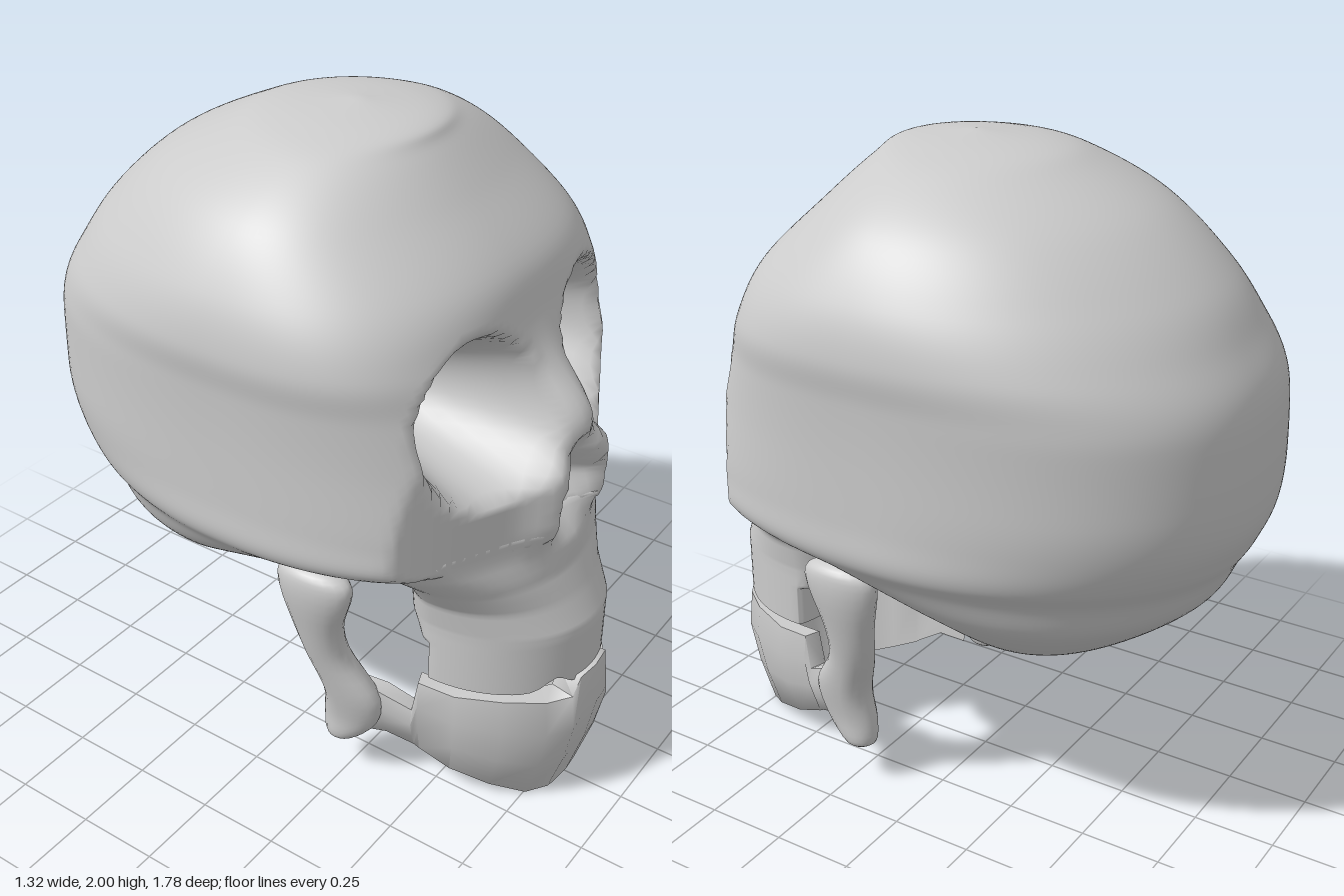
import * as THREE from 'three';
import { mergeVertices, toCreasedNormals } from 'three/addons/utils/BufferGeometryUtils.js';

const { smoothstep, clamp, lerp } = THREE.MathUtils;
const bone = new THREE.MeshStandardMaterial({ color: 0xcccccc });

// Surface from a grid of points: rows run downwards, columns run left to right
function gridGeometry(rows, cols, point) {
  const pos = [], index = [];
  for (let i = 0; i <= rows; i++) {
    for (let j = 0; j <= cols; j++) {
      pos.push(...point(i, j));
      if (i < rows && j < cols) {
        const a = i * (cols + 1) + j, b = a + cols + 1;
        index.push(a, b, a + 1, a + 1, b, b + 1);
      }
    }
  }
  const g = new THREE.BufferGeometry();
  g.setAttribute('position', new THREE.Float32BufferAttribute(pos, 3));
  g.setIndex(index);
  const merged = mergeVertices(g, 1e-5);
  merged.computeVertexNormals();
  return merged;
}

// Stack of superellipse sections: [y, half width, middle z, front z, back z, front exponent]
function loft(levels, sub, cols, tension, shape) {
  const curve = k => new THREE.CatmullRomCurve3(
    levels.map(l => new THREE.Vector3(l[k], l[k + 1], l[k + 2])), false, 'catmullrom', tension);
  const first = curve(0), second = curve(3), rows = (levels.length - 1) * sub;
  return gridGeometry(rows, cols, (i, j) => {
    const { x: y, y: w, z: mid } = first.getPoint(i / rows);
    const { x: front, y: back, z: n } = second.getPoint(i / rows);
    const a = ((j % cols) / cols) * Math.PI * 2 - Math.PI;
    const s = Math.sin(a), c = Math.cos(a);
    const e = c > 0 ? n : 2.35 - 0.4 * smoothstep(Math.abs(y - 1.25), 0.1, 0.45);
    const r = (Math.abs(s) ** e + Math.abs(c) ** e) ** (-1 / e);
    const z = mid + r * c * (c > 0 ? front - mid : mid - back);
    return shape([r * s * w, y, z]);
  });
}

// Slanted cheeks, eye sockets, nose bridge and nose opening worked into the face
function carveFace([x, y, z]) {
  if (z < 0.2) return [x, y, z];
  const ax = Math.abs(x);
  const slant = (1 - smoothstep(y, 1.2, 1.5)) * smoothstep(y, 0.78, 0.92);
  z = lerp(z, Math.min(z, 0.78 - 0.54 * ax ** 1.3), slant);
  const bridge = Math.exp(-((x / 0.07) ** 2)) * Math.exp(-(((y - 1.28) / 0.12) ** 2));
  const noseRim = Math.exp(-(((ax - 0.13) / 0.06) ** 2)) * smoothstep(y, 0.85, 1.0) * (1 - smoothstep(y, 1.1, 1.25));
  z += 0.075 * bridge + 0.045 * noseRim;
  const e = ((ax - 0.275) / 0.22) ** 2 + ((y - 1.33) / 0.235) ** 2;
  if (e < 1) {
    const deep = (1 - e) ** 1.5;
    z -= 0.52 * deep;
    x -= Math.sign(x) * 0.07 * deep;
    y -= 0.04 * deep;
  }
  const s = clamp((1.23 - y) / 0.2, 0, 1);
  const half = 0.03 + 0.1 * s;
  z -= 0.15 * s * Math.max(0, 1 - (x / half) ** 2) * smoothstep(y, 0.86, 1.05);
  return [x, y, z];
}

const craniumLevels = [
  [2.00, 0, 0.03, 0.03, 0.03, 2],
  [1.975, 0.2, 0.03, 0.24, -0.2, 2],
  [1.93, 0.345, 0.03, 0.3, -0.33, 2],
  [1.82, 0.51, 0.02, 0.41, -0.54, 2.1],
  [1.66, 0.62, 0, 0.56, -0.72, 2.5],
  [1.52, 0.66, 0, 0.61, -0.81, 2.9],
  [1.40, 0.65, 0, 0.655, -0.87, 2.9],
  [1.25, 0.645, 0, 0.72, -0.888, 2.8],
  [1.05, 0.645, 0, 0.78, -0.885, 2.8],
  [0.94, 0.645, 0, 0.76, -0.85, 2.7],
  [0.87, 0.60, -0.05, 0.48, -0.81, 2.4],
  [0.75, 0.51, -0.2, 0.1, -0.74, 2.2],
  [0.61, 0.34, -0.27, -0.06, -0.55, 2],
  [0.565, 0.2, -0.27, -0.13, -0.4, 2],
  [0.555, 0, -0.27, -0.27, -0.27, 2],
];

const upperJawLevels = [
  [1.02, 0.50, 0.4, 0.66, 0.25, 2],
  [0.95, 0.53, 0.4, 0.775, 0.25, 1.9],
  [0.88, 0.47, 0.45, 0.78, 0.28, 1.9],
  [0.80, 0.38, 0.5, 0.78, 0.32, 2],
  [0.72, 0.325, 0.5, 0.815, 0.33, 2],
  [0.63, 0.31, 0.5, 0.86, 0.33, 2],
  [0.57, 0.31, 0.5, 0.86, 0.38, 2],
  [0.565, 0.31, 0.5, 0.86, 0.46, 2],
  [0.44, 0.31, 0.5, 0.86, 0.46, 2],
  // hollow palate
  [0.44, 0.26, 0.5, 0.80, 0.47, 2],
  [0.56, 0.22, 0.5, 0.74, 0.48, 2],
  [0.58, 0, 0.5, 0.5, 0.5, 2],
];

const ramusLevels = [
  [0.815, 0, 0.2, 0.2, 0.2, 2],
  [0.80, 0.045, 0.2, 0.29, 0.12, 2],
  [0.75, 0.06, 0.2, 0.33, 0.08, 2],
  [0.60, 0.055, 0.2, 0.285, 0.11, 2],
  [0.47, 0.058, 0.21, 0.29, 0.14, 2],
  [0.33, 0.06, 0.25, 0.37, 0.18, 2],
  [0.22, 0.052, 0.25, 0.35, 0.17, 2],
  [0.14, 0.045, 0.23, 0.28, 0.18, 2],
  [0.13, 0, 0.23, 0.23, 0.23, 2],
];

// Jaw body stations from the chin to the rear: [x, z, top, bottom]
const jawHalf = [
  [0, 0.875, 0.46, 0.015], [0.075, 0.867, 0.46, 0.01], [0.1, 0.858, 0.4, 0.005],
  [0.17, 0.81, 0.4, 0.005], [0.25, 0.71, 0.41, 0.045], [0.3, 0.58, 0.4, 0.08],
  [0.318, 0.468, 0.41, 0.12], [0.322, 0.45, 0.3, 0.13], [0.36, 0.36, 0.35, 0.165],
  [0.385, 0.25, 0.36, 0.15],
];

function jawBodyGeometry() {
  const mirrored = jawHalf.slice(1).reverse().map(([x, ...rest]) => [-x, ...rest]);
  const stations = [...mirrored, ...jawHalf];
  // wall section: [height fraction, scale towards the middle of the mouth]
  const wall = [[1, 1], [0.7, 1.025], [0.35, 0.97], [0, 0.88], [0, 0.76], [0.6, 0.8], [1, 0.85]];
  return gridGeometry(wall.length, stations.length - 1, (i, j) => {
    const [x, z, top, bottom] = stations[j];
    const [h, k] = wall[i % wall.length];
    return [x * k, bottom + (top - bottom) * h, 0.35 + (z - 0.35) * k];
  });
}

export function createModel() {
  const model = new THREE.Group();
  model.name = 'skull';
  const add = (name, geometry) => {
    const mesh = new THREE.Mesh(geometry, bone);
    mesh.name = name;
    model.add(mesh);
  };

  add('cranium', loft(craniumLevels, 8, 160, 0.5, carveFace));

  // Upper jaw, flush with the cheeks, with small notches beside the front teeth
  const shapeJaw = p => {
    const [x, y, z] = carveFace(p);
    const bite = Math.exp(-(((Math.abs(x) - 0.14) / 0.04) ** 2));
    return [x, y + 0.04 * bite * (1 - smoothstep(y, 0.45, 0.53)), z];
  };
  add('upperJaw', toCreasedNormals(loft(upperJawLevels, 4, 80, 0, shapeJaw), 1.0));

  add('lowerJaw', toCreasedNormals(jawBodyGeometry(), 1.2));

  // Upright jaw branches leaning outwards towards the hinge
  for (const side of [1, -1]) {
    const lean = ([x, y, z]) => [x + side * (0.36 + 0.1 * smoothstep(y, 0.2, 0.75)), y, z];
    add(side > 0 ? 'leftJawBranch' : 'rightJawBranch', loft(ramusLevels, 4, 20, 0.5, lean));
  }
  return model;
}
